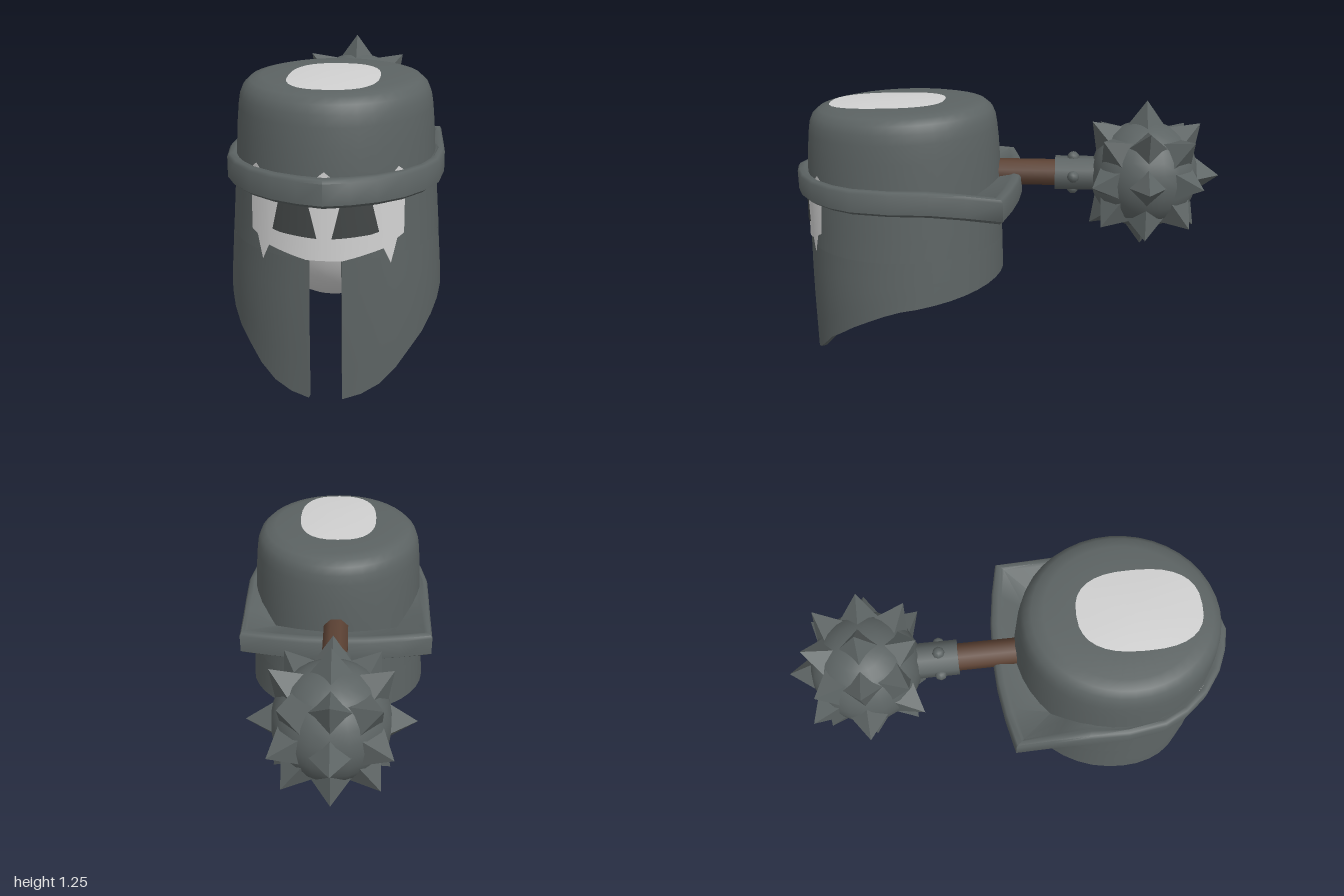
import * as THREE from 'three';
import { toCreasedNormals } from 'three/addons/utils/BufferGeometryUtils.js';

const lerp = THREE.MathUtils.lerp;
const CZ = 0.48; // centre of the helmet plan

// Piecewise linear lookup in a sorted list of [key, value]
function table(list, k) {
  for (let i = 1; i < list.length; i++) {
    if (k <= list[i][0]) {
      const [a, b] = [list[i - 1], list[i]];
      return lerp(a[1], b[1], THREE.MathUtils.clamp((k - a[0]) / (b[0] - a[0]), 0, 1));
    }
  }
  return list[list.length - 1][1];
}

// Surface through a grid of points, facing du x dv
function grid(nu, nv, f, crease = 0.7) {
  const pos = [], idx = [];
  for (let i = 0; i <= nu; i++) for (let j = 0; j <= nv; j++) pos.push(...f(i, j));
  for (let i = 0; i < nu; i++) for (let j = 0; j < nv; j++) {
    const a = i * (nv + 1) + j, b = a + nv + 1;
    idx.push(a, b, b + 1, a, b + 1, a + 1);
  }
  const g = new THREE.BufferGeometry();
  g.setAttribute('position', new THREE.Float32BufferAttribute(pos, 3));
  g.setIndex(idx);
  return toCreasedNormals(g, crease);
}

// Helmet wall: oval plan that flares slightly towards the bottom
const halfWidth = y => table([[0.37, 0.455], [0.93, 0.415]], y);
const halfDepth = y => table([[0.37, 0.47], [0.93, 0.457]], y);
const wall = (t, y, off = 0) => [
  (halfWidth(y) + off) * Math.sin(t), y, CZ + (halfDepth(y) + off) * Math.cos(t)];
const HEM = [[0.02, 0.42], [0.3, 0.385], [0.48, 0.36], [0.65, 0.28], [0.8, 0.17], [0.9, 0.045], [0.945, 0]];
const tilt = z => (CZ - z) * 0.03;

// Thin sheet on the helmet wall from columns of [x, bottom, top]
function wallPlate(cols, off) {
  const n = 4, rows = 6;
  return grid((cols.length - 1) * n, rows, (i, j) => {
    const k = Math.min(Math.floor(i / n), cols.length - 2), f = i / n - k;
    const [x, lo, hi] = cols[k].map((v, c) => lerp(v, cols[k + 1][c], f));
    const y = lerp(lo, hi, j / rows);
    return wall(Math.asin(x / halfWidth(y)), y, off);
  });
}
const flip = cols => cols.map(([x, a, b]) => [-x, a, b]).reverse();

export function createModel() {
  const paint = (name, color) => {
    const m = new THREE.MeshStandardMaterial({ color, side: THREE.DoubleSide });
    m.name = name;
    return m;
  };
  const steel = paint('dark steel', 0x5c6363);
  const bone = paint('pale lining', 0xd0d0d0);
  const shade = paint('eye shade', 0x414545);
  const wood = paint('brown wood', 0x5c4234);

  const model = new THREE.Group();
  model.name = 'helmetWithMace';
  const add = (name, geo, mat, parent = model) => {
    const m = new THREE.Mesh(geo, mat);
    m.name = name;
    parent.add(m);
    return m;
  };

  // Lower shell with wall thickness and a slot down the front
  const slot = 0.148, n = 36, slotTop = 0.595;
  const angles = [slot];
  for (let i = 0; i <= n; i++) angles.push(lerp(slot, 2 * Math.PI - slot, i / n));
  angles.push(2 * Math.PI - slot);
  add('cheekGuards', grid(angles.length - 1, 9, (i, j) => {
    const t = angles[i], end = i === 0 || i === angles.length - 1;
    const hem = table(HEM, CZ + 0.47 * Math.cos(t));
    const inner = j < 5;
    const y = inner ? lerp(slotTop, hem, j / 4) : lerp(hem, slotTop, (j - 5) / 4);
    return wall(t, y, inner && !end ? -0.025 : 0);
  }), steel);

  // Upper shell and rounded crown: [plan scale, height]
  const crown = [[1, 0.595], [1, 0.7], [1, 0.82], [1, 0.93], [0.985, 1.04], [0.967, 1.12],
    [0.95, 1.165], [0.915, 1.2], [0.85, 1.225], [0.74, 1.236], [0.4, 1.236], [0, 1.236]];
  add('crown', grid(40, crown.length - 1, (i, j) => {
    const [s, y] = crown[j], p = wall(i / 40 * 2 * Math.PI, y);
    const z = CZ + (p[2] - CZ) * s;
    return [p[0] * s, y + (y > 1 ? tilt(z) : 0), z];
  }, 0.9), steel);

  // Pale head form inside, seen through the slot and from below
  const head = add('innerHead', new THREE.SphereGeometry(1, 32, 24), bone);
  head.scale.set(0.37, 0.45, 0.385);
  head.position.set(0, 0.76, 0.545);

  // Pale patch on top
  const soft = v => Math.sign(v) * Math.pow(Math.abs(v), 0.78);
  add('crownPatch', grid(32, 5, (i, j) => {
    const t = i / 32 * 2 * Math.PI, r = 1 - j / 5;
    const z = 0.55 + 0.27 * r * soft(Math.cos(t));
    return [0.187 * r * soft(Math.sin(t)), 1.239 + 0.009 * (1 - r * r) + tilt(z), z];
  }), bone);

  // Face plate with ragged lower edge, and the two eyes
  const face = [[0, 0.595, 0.945], [0.03, 0.595, 0.92], [0.07, 0.595, 0.92], [0.22, 0.63, 0.92],
    [0.248, 0.565, 0.92], [0.27, 0.66, 0.945], [0.295, 0.675, 0.92]];
  add('facePlate', wallPlate([...flip(face).slice(0, -1), ...face], 0.005), bone);
  const eye = [[0.028, 0.685, 0.686], [0.062, 0.687, 0.83], [0.172, 0.695, 0.83], [0.2, 0.702, 0.704]];
  add('leftEye', wallPlate(eye, 0.01), shade);
  add('rightEye', wallPlate(flip(eye), 0.01), shade);

  // Brim: rounded at the front, square-cornered and standing clear at the back
  const half = [[0, 1], [0.1, 0.975], [0.2, 0.93], [0.3, 0.855], [0.38, 0.755], [0.43, 0.65],
    [0.455, 0.48], [0.452, 0.3], [0.45, 0.14], [0.45, -0.02], [0.3, -0.052], [0.15, -0.073], [0, -0.08]];
  const rim = [...half, ...half.slice(0, -1).reverse().map(([x, z]) => [-x, z])];
  add('brim', grid(rim.length - 1, 7, (i, j) => {
    const [x, z] = rim[i];
    const t = Math.atan2(x / 0.42, (z - CZ) / 0.46), q = wall(t, 0.87, -0.01);
    const gap = Math.hypot(x - q[0], z - q[2]);
    const drop = table([[-0.02, 0.022], [0.25, 0]], z);
    const lip = Math.min(0.05 / gap, 0.8), edge = Math.min(0.01 / gap, 0.3);
    const sink = Math.max(0, gap - 0.07) * 0.4;
    // [inset towards the wall, height]
    const [f, y] = [[1, 0.825], [edge * 2, 0.815], [0, 0.83], [0, 0.915], [edge, 0.927],
      [lip * 0.7, 0.93], [lip, 0.922], [1, 0.922 - sink]][j];
    return [lerp(x, q[0], f), y - drop * (1 - f * 0.5), lerp(z, q[2], f)];
  }, 0.8), steel);

  // Mace sticking out of the back
  const mace = new THREE.Group();
  mace.name = 'mace';
  mace.position.set(0, 0.905, -0.65);
  model.add(mace);
  const rod = (name, r, z0, z1, mat) => {
    const g = new THREE.CylinderGeometry(r, r, z1 - z0, 8);
    g.rotateY(Math.PI / 8).rotateX(Math.PI / 2);
    add(name, g, mat, mace).position.z = (z0 + z1) / 2 + 0.65;
  };
  rod('handle', 0.062, -0.3, 0.12, wood);
  rod('collar', 0.08, -0.46, -0.235, steel);
  for (let i = 0; i < 4; i++) {
    const a = i * Math.PI / 2;
    add('rivet', new THREE.SphereGeometry(0.028, 8, 6), steel, mace)
      .position.set(0.075 * Math.cos(a), 0.075 * Math.sin(a), 0.33);
  }
  add('maceHead', new THREE.SphereGeometry(0.25, 20, 14), steel, mace);

  // Four-sided spikes along every axis and diagonal except the handle side
  const spike = new THREE.ConeGeometry(0.095, 0.13, 4).translate(0, 0.283, 0).toNonIndexed();
  spike.computeVertexNormals();
  const up = new THREE.Vector3(0, 1, 0);
  for (let x = -1; x <= 1; x++) for (let y = -1; y <= 1; y++) for (let z = -1; z <= 1; z++) {
    if (!x && !y && z >= 0) continue;
    add('spike', spike, steel, mace).quaternion
      .setFromUnitVectors(up, new THREE.Vector3(x, y, z).normalize());
  }
  return model;
}
